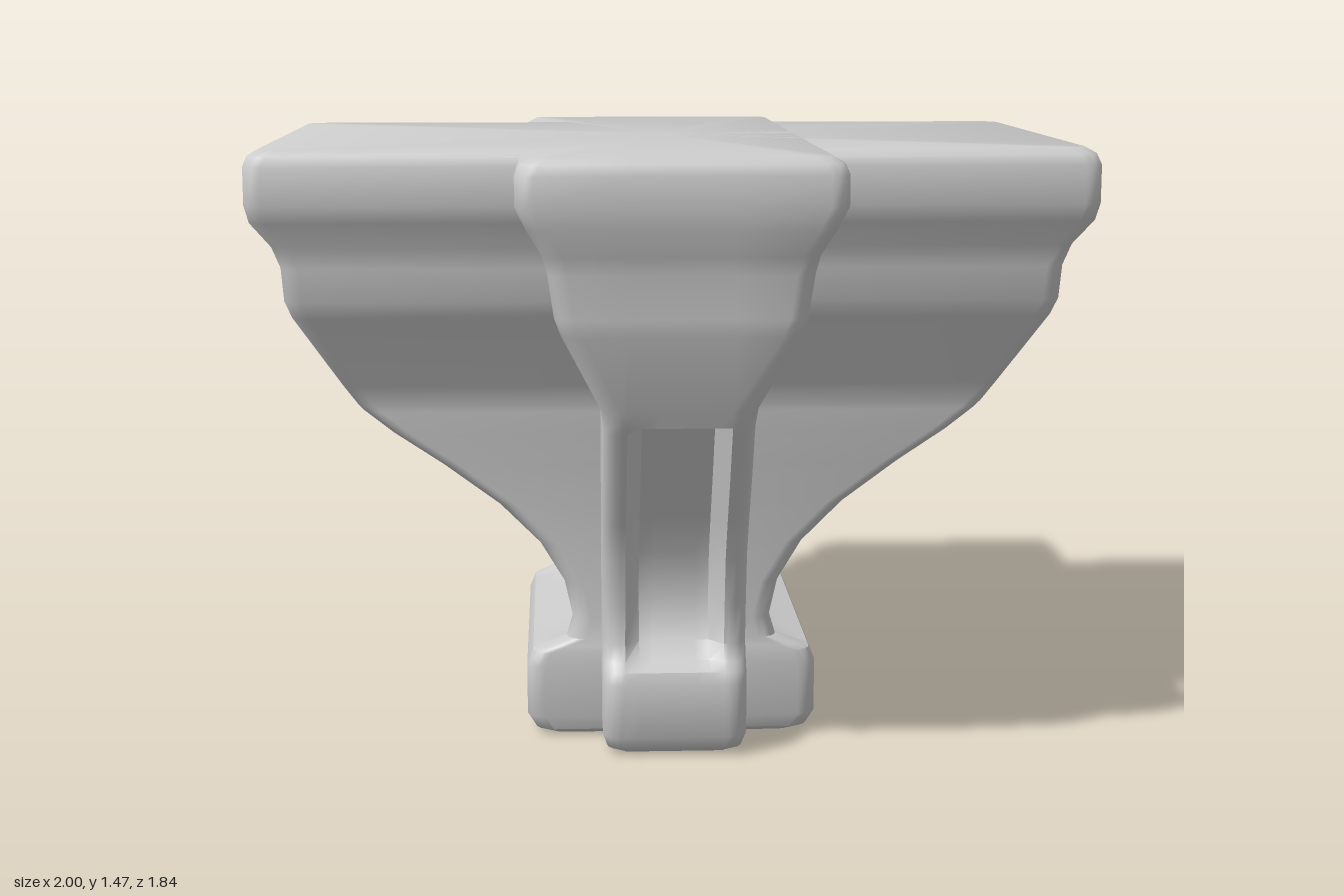
import * as THREE from 'three';
import { toCreasedNormals } from 'three/addons/utils/BufferGeometryUtils.js';

// Outline of one level: rounded rectangle with both ends sunk by `sink` between the ribs
function ring([y, length, width, sink], panel) {
  const r = 0.045, quarter = [];
  quarter.push([length - sink, panel * 0.5], [length - sink, panel - 0.015], [length, panel + 0.02]);
  for (let i = 0; i <= 4; i++) {
    const a = (i / 4) * Math.PI / 2;
    quarter.push([length - r + r * Math.cos(a), width - r + r * Math.sin(a)]);
  }
  const back = [...quarter].reverse();
  const flip = (list, sx, sz) => list.map(([x, z]) => [x * sx, z * sz]);
  return [...quarter, ...flip(back, -1, 1), ...flip(quarter, -1, -1), ...flip(back, 1, -1)]
    .map(([x, z]) => [x, y, z]);
}

// Loft the levels into one closed, smooth-shaded arm
function armGeometry(levels, panel) {
  const rings = levels.map((level) => ring(level, panel));
  const n = rings[0].length, last = rings.length - 1;
  const positions = rings.flat(2), index = [];
  for (let i = 0; i < last; i++) {
    for (let j = 0; j < n; j++) {
      const k = (j + 1) % n, a = i * n + j, b = i * n + k;
      index.push(a, a + n, b, b, a + n, b + n);
    }
  }
  // top and bottom caps
  const bottom = positions.length / 3, top = bottom + 1;
  positions.push(0, levels[0][0], 0, 0, levels[last][0], 0);
  for (let j = 0; j < n; j++) {
    const k = (j + 1) % n;
    index.push(bottom, j, k, top, last * n + k, last * n + j);
  }
  const geometry = new THREE.BufferGeometry();
  geometry.setAttribute('position', new THREE.Float32BufferAttribute(positions, 3));
  geometry.setIndex(index);
  return toCreasedNormals(geometry, 0.75);
}

export function createModel() {
  const group = new THREE.Group();
  group.name = 'corbelCapital';
  const material = new THREE.MeshStandardMaterial({ color: 0xcccccc });

  // Levels: height, half length, half width, depth of the end recess
  const wideLevels = [
    [0.01, 0.31, 0.39, 0], [0.025, 0.34, 0.415, 0], [0.06, 0.36, 0.425, 0], [0.19, 0.36, 0.425, 0],
    [0.225, 0.345, 0.425, 0], [0.24, 0.31, 0.425, 0.03], [0.26, 0.26, 0.425, 0.05],
    [0.31, 0.245, 0.425, 0.06], [0.4, 0.265, 0.425, 0.08], [0.5, 0.325, 0.425, 0.08],
    [0.6, 0.425, 0.425, 0.08], [0.7, 0.56, 0.425, 0.08], [0.78, 0.68, 0.425, 0.08],
    [0.835, 0.75, 0.425, 0.08], [0.85, 0.765, 0.425, 0],
    [0.9, 0.8, 0.44, 0], [1.08, 0.905, 0.545, 0], [1.12, 0.92, 0.56, 0], [1.2, 0.925, 0.57, 0],
    [1.25, 0.945, 0.575, 0], [1.31, 0.99, 0.61, 0], [1.35, 1, 0.62, 0], [1.44, 1, 0.62, 0],
    [1.465, 0.99, 0.61, 0], [1.48, 0.965, 0.585, 0],
  ];
  const narrowLevels = [
    [0.01, 0.55, 0.145, 0], [0.025, 0.58, 0.165, 0], [0.06, 0.6, 0.175, 0], [0.19, 0.6, 0.175, 0],
    [0.22, 0.59, 0.175, 0], [0.24, 0.57, 0.175, 0.02], [0.28, 0.55, 0.175, 0.04],
    [0.38, 0.565, 0.175, 0.08], [0.5, 0.59, 0.175, 0.08], [0.6, 0.645, 0.175, 0.08],
    [0.72, 0.72, 0.175, 0.08], [0.845, 0.79, 0.175, 0.08], [0.86, 0.8, 0.175, 0],
    [0.9, 0.815, 0.18, 0], [1.08, 0.88, 0.27, 0], [1.12, 0.885, 0.285, 0], [1.22, 0.885, 0.3, 0],
    [1.26, 0.895, 0.31, 0], [1.32, 0.915, 0.345, 0], [1.37, 0.92, 0.37, 0], [1.44, 0.92, 0.37, 0],
    [1.465, 0.91, 0.36, 0], [1.48, 0.885, 0.335, 0],
  ];

  // The two crossing arms
  const wideArm = new THREE.Mesh(armGeometry(wideLevels, 0.345), material);
  wideArm.name = 'sideToSideArm';
  const narrowArm = new THREE.Mesh(armGeometry(narrowLevels, 0.1), material);
  narrowArm.name = 'frontToBackArm';
  narrowArm.rotation.y = Math.PI / 2;
  group.add(wideArm, narrowArm);

  return group;
}
